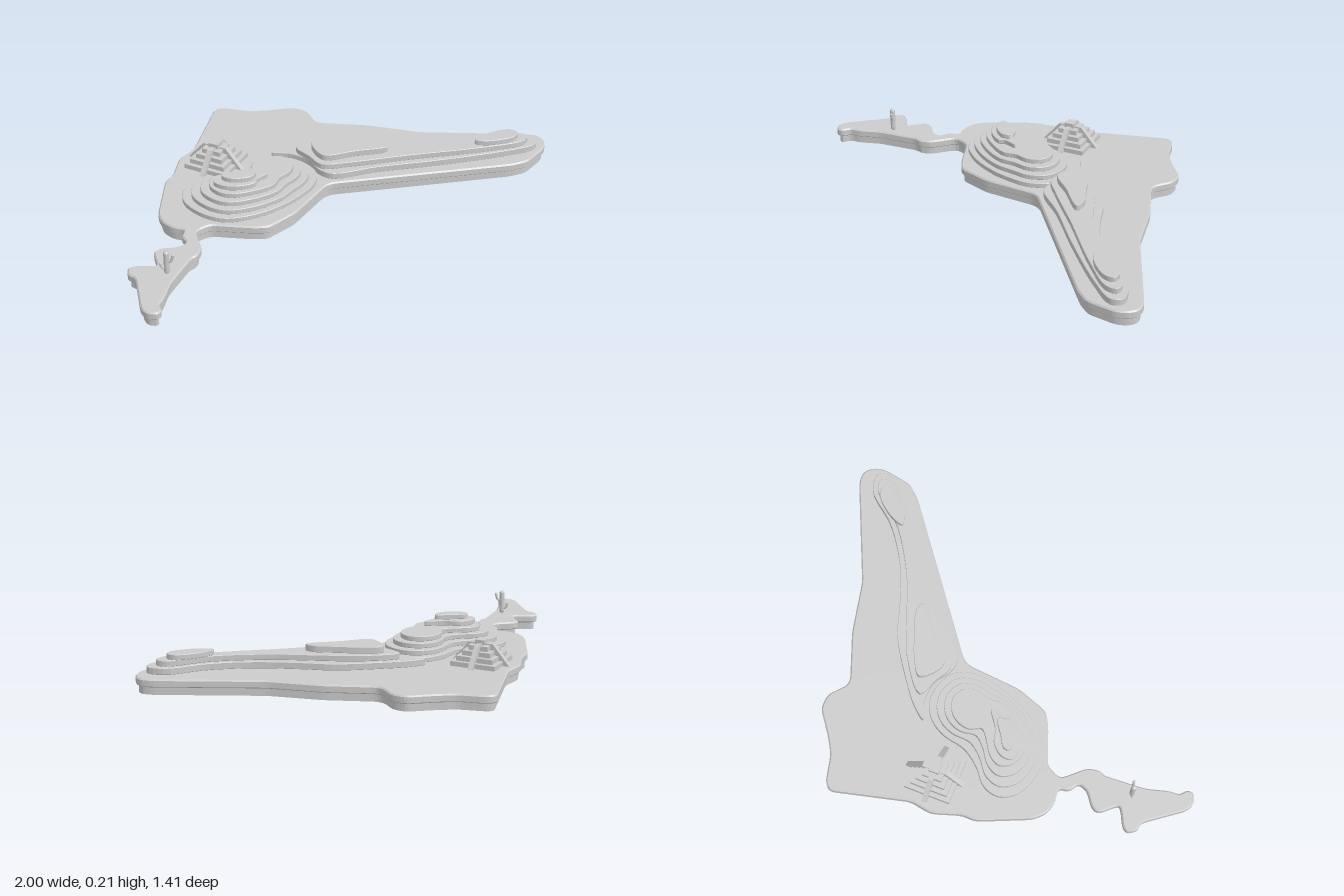
import * as THREE from 'three';

const material = new THREE.MeshStandardMaterial({ color: 0xcccccc });
const openMaterial = new THREE.MeshStandardMaterial({ color: 0xcccccc, side: THREE.DoubleSide });

// Flat list of x, z values -> points
function points(list) {
  const out = [];
  for (let i = 0; i < list.length; i += 2) out.push(new THREE.Vector2(list[i], list[i + 1]));
  return out;
}

// Closed smooth outline through the points
function smooth(pts, divisions = 72) {
  const curve = new THREE.CatmullRomCurve3(pts.map(p => new THREE.Vector3(p.x, p.y, 0)), true, 'centripetal');
  return curve.getPoints(divisions).slice(0, -1).map(p => new THREE.Vector2(p.x, p.y));
}

// Straight outline with small rounded corners
function roundCorners(pts, radius) {
  return pts.flatMap((p, i) => {
    const toward = q => p.clone().lerp(q, Math.min(0.4, radius / p.distanceTo(q)));
    const before = toward(pts.at(i - 1));
    const after = toward(pts[(i + 1) % pts.length]);
    return new THREE.QuadraticBezierCurve(before, p, after).getPoints(3);
  });
}

// Outline moved inward by a distance
function insetOutline(outline, distance) {
  const side = Math.sign(THREE.ShapeUtils.area(outline)) * distance;
  return outline.map((p, i) => {
    const along = outline[(i + 1) % outline.length].clone().sub(outline.at(i - 1)).normalize();
    return new THREE.Vector2(p.x - along.y * side, p.y + along.x * side);
  });
}

function add(parent, geometry, name, surface = material) {
  const mesh = new THREE.Mesh(geometry, surface);
  mesh.name = name;
  parent.add(mesh);
  return mesh;
}

// Horizontal plate with an x, z outline between two heights
function plate(parent, name, outline, y0, y1) {
  const bevel = 0.002;
  const geometry = new THREE.ExtrudeGeometry(new THREE.Shape(outline), {
    depth: y1 - y0 - 2 * bevel,
    bevelThickness: bevel,
    bevelSize: bevel,
    bevelOffset: -bevel,
    bevelSegments: 1,
  });
  geometry.rotateX(Math.PI / 2);
  geometry.translate(0, y1 - bevel, 0);
  return add(parent, geometry, name);
}

// Open wall around an outline; the profile lists [height, inset] from bottom to top
function wall(parent, name, outline, profile) {
  const rings = profile.map(([y, inset]) =>
    insetOutline(outline, inset).map(p => new THREE.Vector3(p.x, y, p.y)));
  const corners = [];
  for (let r = 0; r < rings.length - 1; r++) {
    rings[r].forEach((a, i) => {
      const next = (i + 1) % outline.length;
      const b = rings[r][next], c = rings[r + 1][next], d = rings[r + 1][i];
      corners.push(a, d, c, a, c, b);
    });
  }
  const geometry = new THREE.BufferGeometry().setFromPoints(corners);
  geometry.computeVertexNormals();
  add(parent, geometry, name, openMaterial);
}

const coast = roundCorners(points([
  -0.325, -0.705, -0.285, -0.705, -0.18, -0.64, -0.1, -0.62, 0.03, -0.6, 0.075, -0.55, 0.08, -0.46,
  0.1, -0.435, 0.3, -0.345, 0.5, -0.215, 0.95, -0.045, 0.985, -0.02, 1, 0.01, 0.995, 0.05,
  0.97, 0.09, 0.86, 0.165, 0.78, 0.17, -0.01, 0.055, -0.045, 0.065, -0.23, 0.22, -0.37, 0.285,
  -0.435, 0.265, -0.595, 0.19, -0.665, 0.215, -0.67, 0.34, -0.7, 0.385, -0.73, 0.395,
  -0.85, 0.53, -0.9, 0.62, -0.93, 0.65, -0.925, 0.69, -0.95, 0.71, -0.99, 0.69, -1.003, 0.65,
  -0.975, 0.45, -1, 0.42, -0.99, 0.375, -0.96, 0.37, -0.89, 0.395, -0.87, 0.395,
  -0.865, 0.3, -0.83, 0.285, -0.76, 0.3, -0.715, 0.28, -0.73, 0.23, -0.7, 0.19, -0.75, 0.155,
  -0.78, 0.1, -0.78, 0.04, -0.69, -0.19, -0.645, -0.23, -0.585, -0.35, -0.505, -0.405,
]), 0.025);

// Contours of the broad mountain: foot and shoulder have matching points
const foot = points([
  -0.66, 0.02, -0.64, -0.06, -0.575, -0.1, -0.48, -0.095, -0.39, -0.11, -0.3, -0.165,
  -0.22, -0.185, -0.14, -0.165, -0.085, -0.105, -0.06, -0.015, -0.1, 0.07, -0.17, 0.125,
  -0.265, 0.175, -0.4, 0.21, -0.53, 0.2, -0.61, 0.135,
]);
const shoulder = points([
  -0.55, 0.04, -0.53, -0.015, -0.475, -0.03, -0.4, -0.015, -0.355, -0.015, -0.335, -0.065,
  -0.29, -0.095, -0.235, -0.1, -0.18, -0.07, -0.165, -0.015, -0.195, 0.04, -0.25, 0.07,
  -0.29, 0.115, -0.385, 0.135, -0.48, 0.13, -0.525, 0.1,
]);
const upperPeak = points([
  -0.535, 0.045, -0.505, 0.01, -0.44, 0.005, -0.385, 0.035, -0.3, 0.055, -0.355, 0.085,
  -0.37, 0.11, -0.445, 0.115, -0.505, 0.09,
]);
const summit = points([
  -0.5, 0.045, -0.48, 0.03, -0.43, 0.04, -0.355, 0.06, -0.375, 0.09, -0.43, 0.095, -0.48, 0.075,
]);

// Contours of the long ridge
const ridgeFoot = points([
  -0.2, -0.22, -0.12, -0.23, 0, -0.215, 0.19, -0.175, 0.33, -0.105, 0.51, -0.03, 0.7, 0.005,
  0.88, -0.005, 0.945, 0.045, 0.925, 0.09, 0.78, 0.1, 0.46, 0.075, 0.19, 0.04, 0, 0.03,
  -0.045, -0.02, -0.065, -0.11, -0.13, -0.185,
]);
const ridgeStep = points([
  -0.095, -0.19, 0.08, -0.175, 0.23, -0.115, 0.43, -0.03, 0.67, 0.025, 0.87, 0.015, 0.905, 0.05,
  0.87, 0.085, 0.68, 0.08, 0.35, 0.035, 0.08, 0.005, -0.035, -0.02, -0.065, -0.1,
]);
const innerCrest = points([
  -0.03, -0.165, 0.06, -0.15, 0.16, -0.105, 0.25, -0.06, 0.27, -0.02, 0.12, -0.03, -0.02, -0.045,
]);
const outerCrest = points([
  0.655, 0.045, 0.71, 0.015, 0.83, 0.01, 0.86, 0.045, 0.83, 0.075, 0.71, 0.075,
]);

const GROUND = 0.07;

// Hollow land: stepped shore wall closed by a thin top
function createLand() {
  const group = new THREE.Group();
  group.name = 'land';
  wall(group, 'shore', coast, [[0, 0.012], [0.035, 0.012], [0.035, 0.004], [0.039, 0], [0.064, 0], [GROUND, 0.006]]);
  const top = new THREE.ShapeGeometry(new THREE.Shape(insetOutline(coast, 0.006)));
  top.scale(1, -1, 1);
  top.rotateX(-Math.PI / 2);
  top.setIndex([...top.index.array].reverse());
  top.computeVertexNormals();
  add(group, top, 'landTop', openMaterial).position.y = GROUND;
  return group;
}

function createMountain() {
  const group = new THREE.Group();
  group.name = 'mountain';
  const layers = [0, 1, 2, 3].map(i => foot.map((p, k) => p.clone().lerp(shoulder[k], i / 3)));
  layers.push(upperPeak, summit);
  const step = 0.0227;
  layers.forEach((layer, i) =>
    plate(group, 'mountainTerrace' + (i + 1), smooth(layer), GROUND + i * step + 0.0005, GROUND + (i + 1) * step));
  return group;
}

function createRidge() {
  const group = new THREE.Group();
  group.name = 'ridge';
  plate(group, 'ridgeFoot', smooth(ridgeFoot), GROUND + 0.0005, 0.1);
  plate(group, 'ridgeStep', smooth(ridgeStep), 0.1, 0.126);
  plate(group, 'innerCrest', smooth(innerCrest), 0.126, 0.155);
  plate(group, 'outerCrest', smooth(outerCrest), 0.126, 0.15);
  return group;
}

// Stepped pyramid with a ramp on each side
function createPyramid() {
  const group = new THREE.Group();
  group.name = 'pyramid';
  const step = 0.021;
  [0.204, 0.166, 0.127, 0.087, 0.044].forEach((side, i) => {
    const tier = add(group, new THREE.BoxGeometry(side, step, side), 'pyramidTier' + (i + 1));
    tier.position.y = (i + 0.5) * step;
  });
  const profile = new THREE.Shape(points([0.02, 0, 0.132, 0, 0.055, 0.09, 0.02, 0.09]));
  const ramp = new THREE.ExtrudeGeometry(profile, { depth: 0.022, bevelEnabled: false });
  ramp.translate(0, 0, -0.011);
  for (let i = 0; i < 4; i++) add(group, ramp, 'pyramidRamp').rotation.y = i * Math.PI / 2;
  group.position.set(-0.44, GROUND + 0.0005, -0.264);
  group.rotation.y = Math.PI / 4;
  return group;
}

// Cactus with two bent arms
function createCactus() {
  const group = new THREE.Group();
  group.name = 'cactus';
  add(group, new THREE.CapsuleGeometry(0.0115, 0.084, 6, 16), 'cactusTrunk').position.y = 0.0535;
  for (const [reach, low, high] of [[-0.026, 0.018, 0.045], [0.028, 0.055, 0.09]]) {
    const path = new THREE.CatmullRomCurve3([
      new THREE.Vector3(0, low, 0),
      new THREE.Vector3(reach * 0.7, low + 0.01, 0),
      new THREE.Vector3(reach, high, 0),
    ]);
    add(group, new THREE.TubeGeometry(path, 16, 0.006, 10), 'cactusArm');
    add(group, new THREE.SphereGeometry(0.006, 10, 8), 'cactusArmTip').position.set(reach, high, 0);
  }
  group.position.set(-0.848, GROUND, 0.465);
  group.rotation.y = -0.5;
  return group;
}

export function createModel() {
  const model = new THREE.Group();
  model.name = 'island';
  model.add(createLand(), createMountain(), createRidge(), createPyramid(), createCactus());
  return model;
}
